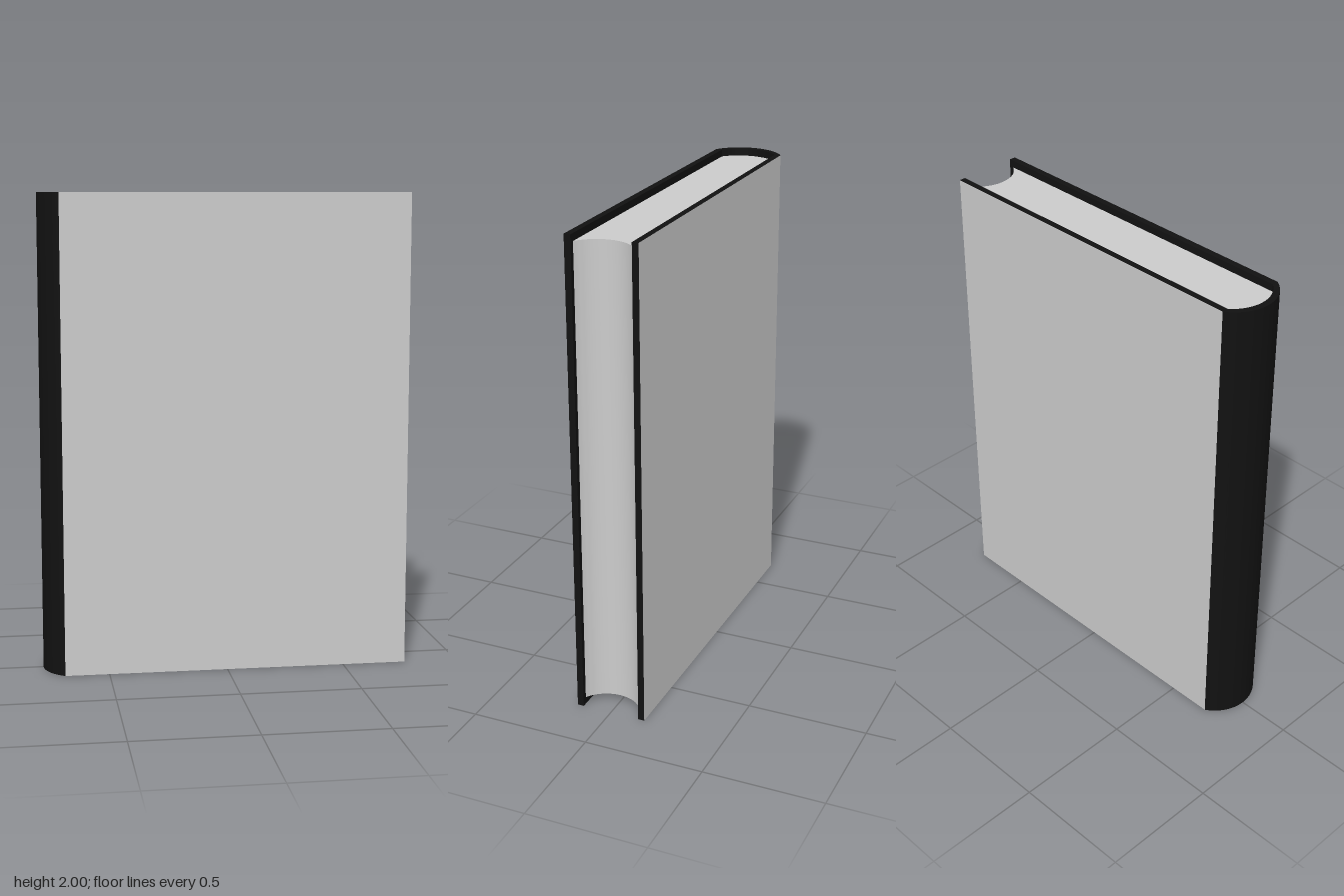
import * as THREE from 'three';
import { toCreasedNormals } from 'three/addons/utils/BufferGeometryUtils.js';

const HEIGHT = 2, HALF_DEPTH = 0.15, INNER = 0.123; // cover size and inside half depth
const FRONT_X = 0.77, HINGE_X = -0.685, MARGIN = 0.03;

// Points of a circular arc from (x, half) to (x, -half), bulging by `bulge` toward -x
function arc(x, half, bulge, steps = 24) {
  const r = (half * half + bulge * bulge) / (2 * bulge);
  const a = Math.asin(half / r);
  const cx = x - bulge + r;
  return Array.from({ length: steps + 1 }, (_, i) => {
    const t = a * (1 - (2 * i) / steps);
    return new THREE.Vector2(cx - r * Math.cos(t), r * Math.sin(t));
  });
}

// Extrude a plan outline upward from y0 to y1, smooth on the curves
function upright(points, y0, y1) {
  const geo = new THREE.ExtrudeGeometry(new THREE.Shape(points), { depth: y1 - y0, bevelEnabled: false });
  geo.rotateX(-Math.PI / 2).translate(0, y0, 0);
  return toCreasedNormals(geo, 0.5);
}

export function createModel() {
  const book = new THREE.Group();
  book.name = 'book';
  const grey = new THREE.MeshStandardMaterial({ color: 0xcccccc });
  const black = new THREE.MeshStandardMaterial({ color: 0x111111 });

  const add = (name, geo, material) => {
    const mesh = new THREE.Mesh(geo, material);
    mesh.name = name;
    book.add(mesh);
    return mesh;
  };

  // Cover boards: black with a grey outer face
  const thick = HALF_DEPTH - INNER;
  for (const side of [1, -1]) {
    const materials = Array(6).fill(black);
    materials[side > 0 ? 4 : 5] = grey;
    add(side > 0 ? 'frontCover' : 'backCover',
      new THREE.BoxGeometry(FRONT_X - HINGE_X, HEIGHT, thick), materials)
      .position.set((FRONT_X + HINGE_X) / 2, HEIGHT / 2, side * (HALF_DEPTH - thick / 2));
  }

  // Rounded spine
  const outer = arc(HINGE_X, HALF_DEPTH, 0.085);
  const inner = arc(HINGE_X, INNER, 0.058);
  add('spine', upright([...outer, ...inner.slice().reverse()], 0, HEIGHT), black);

  // Page block: rounded at the spine, hollowed at the fore edge
  const foreEdge = arc(0.75, INNER, 0.07).reverse();
  add('pages', upright([...inner, ...foreEdge], MARGIN, HEIGHT - MARGIN), grey);

  return book;
}
